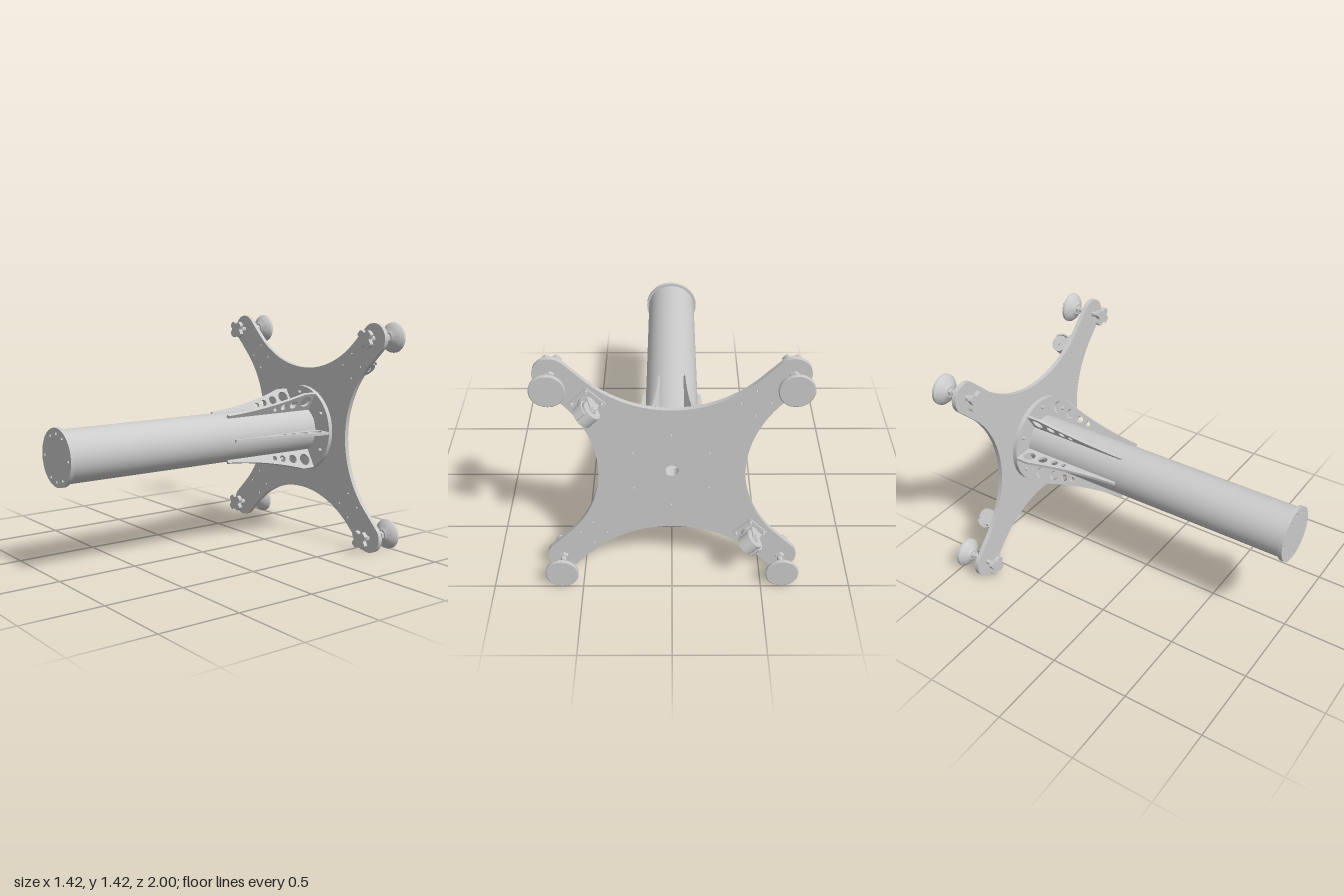
import * as THREE from 'three';
import { toCreasedNormals } from 'three/addons/utils/BufferGeometryUtils.js';

const CY = 0.71; // height of the main axis
const material = new THREE.MeshStandardMaterial({ color: 0xcccccc, side: THREE.DoubleSide });

function add(parent, name, geometry, x = 0, y = 0, z = 0) {
  const mesh = new THREE.Mesh(toCreasedNormals(geometry, 0.6), material);
  mesh.name = name;
  mesh.position.set(x, y, z);
  parent.add(mesh);
  return mesh;
}

// cylinder along z, between two depths
function rod(parent, name, r, z0, z1, x = 0, y = 0, sides = 24, open = false) {
  const g = new THREE.CylinderGeometry(r, r, Math.abs(z1 - z0), sides, 1, open).rotateX(Math.PI / 2);
  return add(parent, name, g, x, y, (z0 + z1) / 2);
}

function hole(shape, x, y, r) {
  shape.holes.push(new THREE.Path().absarc(x, y, r, 0, Math.PI * 2, true));
}

function extrude(shape, depth, curveSegments = 20) {
  return new THREE.ExtrudeGeometry(shape, { depth, bevelEnabled: false, curveSegments });
}

const ring = (n, r, start = 0) => Array.from({ length: n }, (_, i) => {
  const a = start + (i * Math.PI * 2) / n;
  return [r * Math.cos(a), r * Math.sin(a)];
});

// four-armed plate: round lobes joined by concave arcs
function basePlateGeometry() {
  const s = new THREE.Shape();
  const q = Math.PI / 4;
  for (let i = 0; i < 4; i++) {
    const lobe = (2 * i + 1) * q, side = (2 * i + 2) * q;
    s.absarc(0.8726 * Math.cos(lobe), 0.8726 * Math.sin(lobe), 0.093, lobe - 2 * q, lobe + 2 * q, false);
    s.absarc(1.037 * Math.cos(side), 1.037 * Math.sin(side), 0.64, side + 5 * q, side + 3 * q, true);
  }
  s.closePath();
  hole(s, 0, 0, 0.036);
  for (const [x, y] of ring(6, 0.237, Math.PI / 6)) hole(s, x, y, 0.006);
  for (const sx of [-1, 1]) for (const sy of [-1, 1])
    for (const [x, y] of ring(4, 0.077)) hole(s, sx * 0.438 + x, sy * 0.442 + y, 0.006);
  return extrude(s, 0.028, 32);
}

// tapering rib with lightening holes; x is radius, y is depth towards the back
function ribGeometry() {
  const s = new THREE.Shape();
  s.moveTo(0.148, 0.13);
  s.lineTo(0.172, 0.13);
  s.quadraticCurveTo(0.19, 0.42, 0.278, 0.69);
  s.lineTo(0.282, 0.71);
  s.lineTo(0.282, 0.792);
  s.lineTo(0.148, 0.792);
  s.closePath();
  hole(s, 0.222, 0.735, 0.038);
  hole(s, 0.207, 0.64, 0.029);
  hole(s, 0.195, 0.56, 0.022);
  hole(s, 0.185, 0.498, 0.016);
  return extrude(s, 0.016).translate(0, 0, -0.008).rotateX(-Math.PI / 2);
}

// hand knob with four broad lobes
function knobGeometry() {
  const pts = [];
  for (let i = 0; i < 64; i++) {
    const a = (i / 64) * Math.PI * 2;
    const r = Math.min(0.06, 0.055 - 0.016 * Math.cos(4 * a));
    pts.push(new THREE.Vector2(r * Math.cos(a), r * Math.sin(a)));
  }
  return extrude(new THREE.Shape(pts), 0.027);
}

// levelling foot: knob, threaded shaft, nuts and domed pad
function makeFoot() {
  const foot = new THREE.Group();
  foot.name = 'levellingFoot';
  add(foot, 'footKnob', knobGeometry(), 0, 0, -0.762);
  rod(foot, 'footShaft', 0.016, -0.76, -0.95);
  rod(foot, 'lockNut', 0.027, -0.85, -0.872, 0, 0, 6);
  rod(foot, 'padNut', 0.026, -0.92, -0.938, 0, 0, 6);
  const profile = [[0, 0.938], [0.034, 0.938], [0.042, 0.945], [0.062, 0.954], [0.08, 0.967],
    [0.092, 0.982], [0.093, 0.996], [0.088, 1], [0, 1]].map(p => new THREE.Vector2(...p));
  add(foot, 'footPad', new THREE.LatheGeometry(profile, 40).rotateX(-Math.PI / 2));
  return foot;
}

// swivel caster; local +x points outward along the arm
function makeCaster() {
  const caster = new THREE.Group();
  caster.name = 'caster';
  add(caster, 'casterPlate', new THREE.BoxGeometry(0.14, 0.14, 0.01), 0, 0, -0.851);
  for (const [x, y] of ring(4, 0.077, Math.PI / 4)) {
    rod(caster, 'casterNut', 0.012, -0.856, -0.87, x, y, 6);
    rod(caster, 'casterBolt', 0.006, -0.856, -0.878, x, y, 10);
  }
  rod(caster, 'swivelBase', 0.048, -0.856, -0.88);
  const wx = -0.01, wz = -0.938;
  add(caster, 'casterWheel', new THREE.CylinderGeometry(0.054, 0.054, 0.078, 32), wx, 0, wz);
  add(caster, 'axle', new THREE.CylinderGeometry(0.013, 0.013, 0.112, 16), wx, 0, wz);
  // fork cheeks, in local x and depth
  const cheek = new THREE.Shape();
  cheek.moveTo(0.045, 0.873);
  cheek.lineTo(-0.04, 0.873);
  cheek.lineTo(wx - 0.022, -wz);
  cheek.absarc(wx, -wz, 0.022, Math.PI, 0, true);
  cheek.closePath();
  for (const side of [-1, 1])
    add(caster, 'forkCheek', extrude(cheek, 0.008).translate(0, 0, -0.004).rotateX(-Math.PI / 2), 0, side * 0.046, 0);
  add(caster, 'forkTop', new THREE.BoxGeometry(0.085, 0.1, 0.008), 0, 0, -0.878);
  // curved brake lever around the outer side of the wheel
  const lever = new THREE.Shape();
  lever.absarc(wx, -wz, 0.07, -0.6, 1, false);
  lever.absarc(wx, -wz, 0.06, 1, -0.6, true);
  lever.closePath();
  add(caster, 'brakeLever', extrude(lever, 0.06).translate(0, 0, -0.03).rotateX(-Math.PI / 2));
  return caster;
}

export function createModel() {
  const model = new THREE.Group();
  model.name = 'columnStand';
  const body = new THREE.Group();
  body.name = 'body';
  body.position.y = CY;
  model.add(body);

  add(body, 'basePlate', basePlateGeometry(), 0, 0, -0.846);

  // flange with a centre hole
  const flange = new THREE.Shape().absarc(0, 0, 0.281, 0, Math.PI * 2, false);
  hole(flange, 0, 0, 0.036);
  add(body, 'flange', extrude(flange, 0.028, 48), 0, 0, -0.818);

  // column and drilled end cap
  rod(body, 'columnTube', 0.154, -0.79, 0.98, 0, 0, 48, true);
  const cap = new THREE.Shape().absarc(0, 0, 0.168, 0, Math.PI * 2, false);
  for (const [x, y] of [...ring(6, 0.136), [0, 0.136], [0, -0.136]]) hole(cap, x, y, 0.009);
  add(body, 'endCap', extrude(cap, 0.025, 48), 0, 0, 0.975);

  // ribs and flange bolts
  const rib = ribGeometry();
  for (let i = 0; i < 6; i++) add(body, 'rib', rib).rotation.z = (i * Math.PI) / 3;
  for (const [x, y] of ring(6, 0.237, Math.PI / 6)) {
    rod(body, 'flangeBolt', 0.011, -0.79, -0.77, x, y, 12);
  }

  // feet on every arm
  for (const sx of [-1, 1]) for (const sy of [-1, 1]) {
    const foot = makeFoot();
    foot.position.set(sx * 0.617, sy * 0.617, 0);
    body.add(foot);
  }

  // casters on two opposite arms
  for (const s of [-1, 1]) {
    const caster = makeCaster();
    caster.position.set(s * 0.438, s * 0.442, 0);
    caster.rotation.z = Math.PI / 4 + (s < 0 ? Math.PI : 0);
    body.add(caster);
  }
  return model;
}
